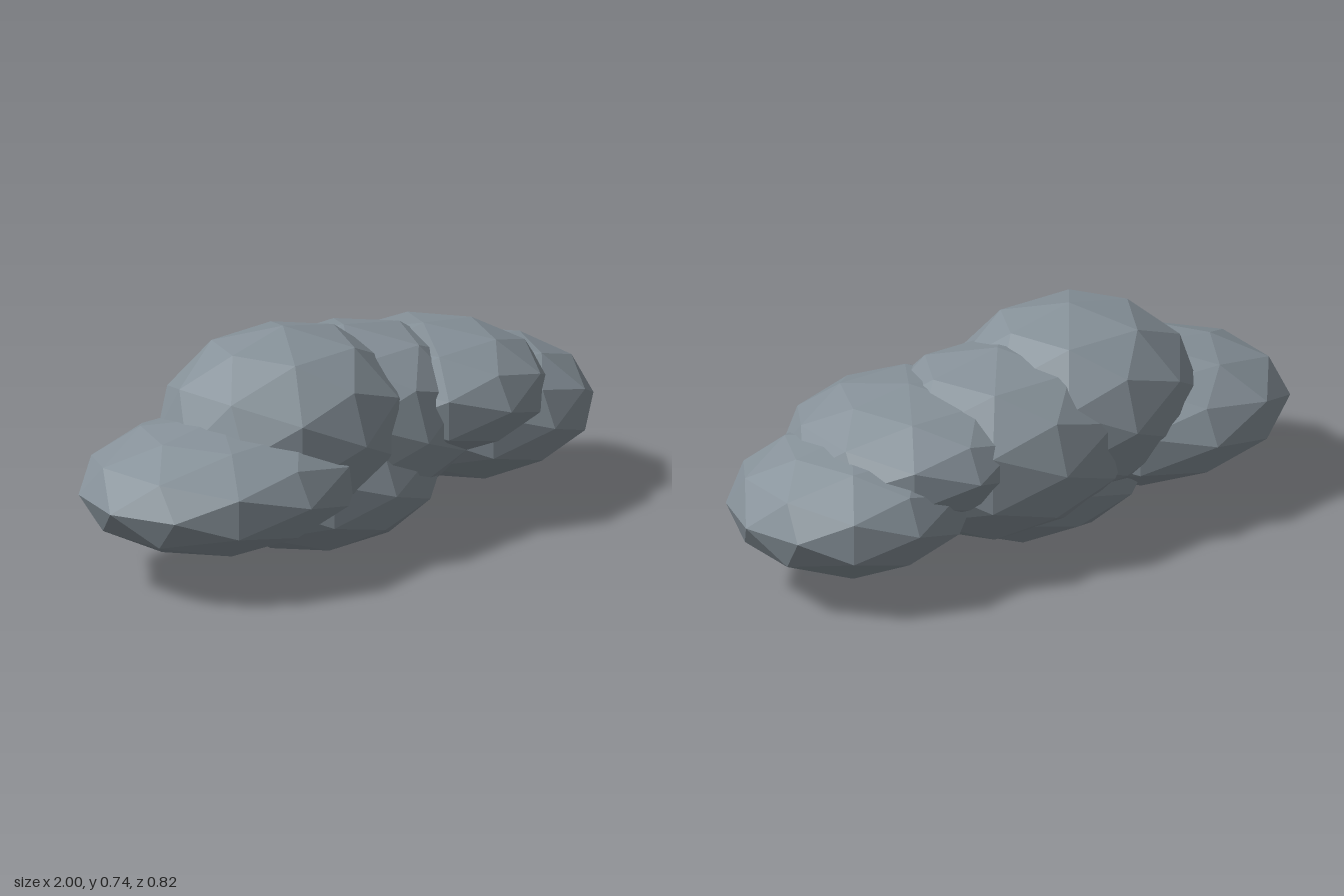
import * as THREE from 'three';

// Low-poly cloud: overlapping squashed icospheres.
export function createModel() {
  const cloud = new THREE.Group();
  cloud.name = 'cloud';
  const cloudGrey = new THREE.MeshStandardMaterial({ color: 0x87929a, flatShading: true });
  cloudGrey.name = 'cloudGrey';

  // name, centre, radii
  const puffs = [
    ['rightEndPuff', [-0.52, 0.305, 0.007], [0.48, 0.205, 0.4]],
    ['topPuff', [-0.224, 0.425, -0.014], [0.42, 0.31, 0.367]],
    ['bottomPuff', [-0.08, 0.226, 0.01], [0.42, 0.226, 0.33]],
    ['middlePuff', [0.063, 0.365, -0.037], [0.463, 0.302, 0.374]],
    ['leftUpperPuff', [0.37, 0.408, 0.005], [0.4, 0.202, 0.387]],
    ['leftEndPuff', [0.6, 0.291, -0.014], [0.4, 0.217, 0.366]],
  ];
  for (const [name, centre, radii] of puffs) {
    const geometry = new THREE.IcosahedronGeometry(1, 1).scale(...radii);
    geometry.computeVertexNormals();
    const puff = new THREE.Mesh(geometry, cloudGrey);
    puff.name = name;
    puff.position.set(...centre);
    cloud.add(puff);
  }
  return cloud;
}
